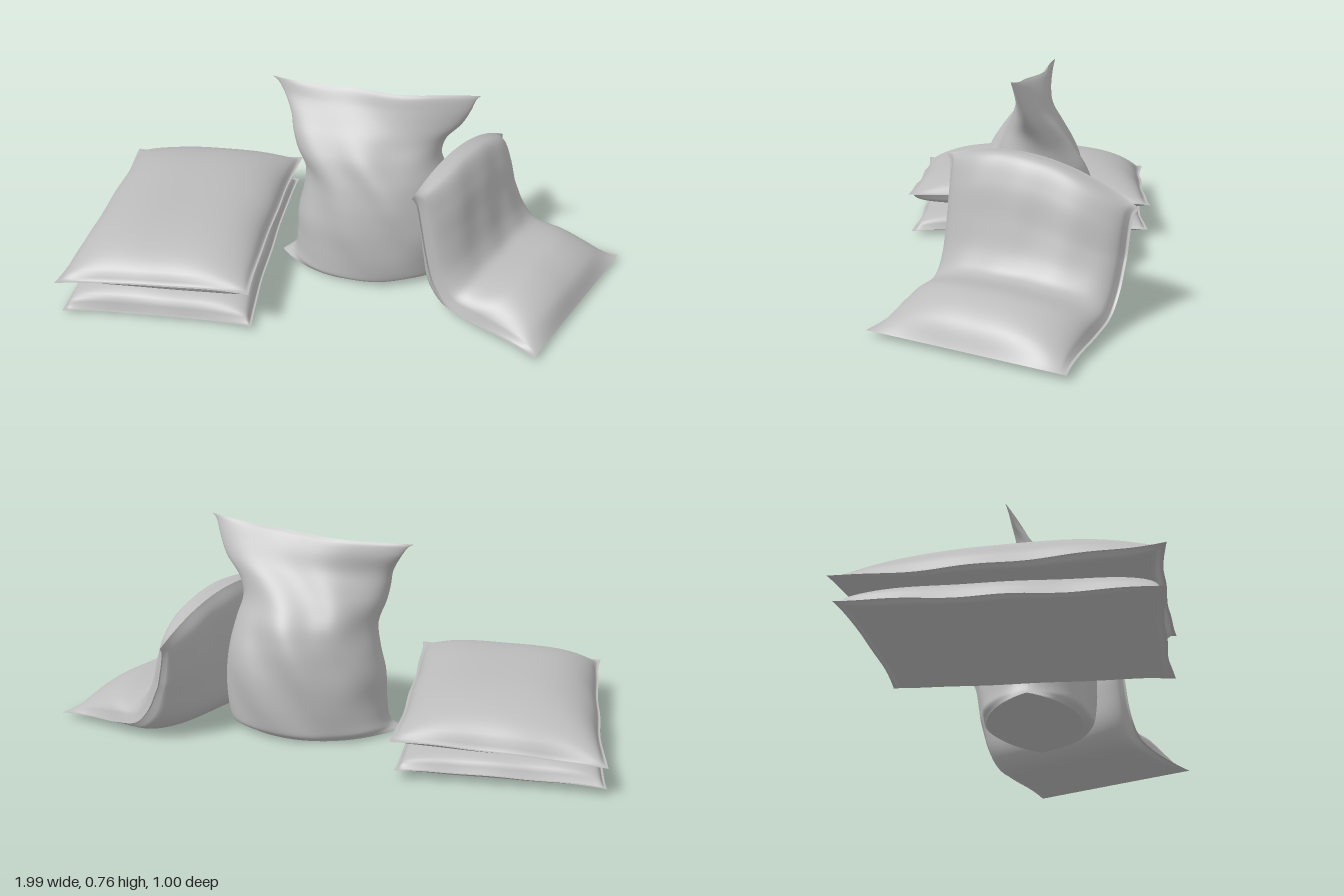
import * as THREE from 'three';

const cloth = new THREE.MeshStandardMaterial({ color: 0xbcbcbc });
cloth.name = 'grey cloth';

// Smooth sheet over u, v in -1..1, sampled densely near its edges
function sheet(name, f, flip = false, nu = 56, nv = 56) {
  const pos = [], idx = [];
  const ease = (k, n) => Math.sin((k / n - 0.5) * Math.PI);
  for (let j = 0; j <= nv; j++)
    for (let i = 0; i <= nu; i++) pos.push(...f(ease(i, nu), ease(j, nv)));
  for (let j = 0; j < nv; j++)
    for (let i = 0; i < nu; i++) {
      const a = j * (nu + 1) + i, b = a + 1, c = a + nu + 1, d = c + 1;
      if (flip) idx.push(a, d, b, a, c, d);
      else idx.push(a, b, d, a, d, c);
    }
  const g = new THREE.BufferGeometry();
  g.setAttribute('position', new THREE.Float32BufferAttribute(pos, 3));
  g.setIndex(idx);
  g.computeVertexNormals();
  const m = new THREE.Mesh(g, cloth);
  m.name = name;
  return m;
}

// Bulge across a sack, almost zero on the flat seam flange at its rim
function bulge(t, power) {
  const e = Math.abs(t), a = Math.min(1, e / 0.965);
  return Math.max(Math.pow(1 - a * a * a, power), 0.04 * (1 - e));
}

// Flat filled sack with ears at the corners
function lyingSack(name, o) {
  const group = new THREE.Group();
  group.name = name;
  const side = (h, power) => (u, v) => {
    const ear = Math.pow(u * v, 4);
    const ripple = 0.002 * Math.sin(9 * v + o.seed) * Math.pow(u, 6)
      + 0.002 * Math.sin(8 * u + o.seed) * Math.pow(v, 6);
    const tilt = o.tiltX * u + o.tiltZ * v;
    const dent = h > 0 ? 1 + 0.03 * Math.sin(4 * u + 3 * v + o.seed) : 1;
    return [
      o.w * u * (0.955 + 0.045 * ear) + ripple * u,
      tilt + ripple + (h - tilt) * bulge(u, power) * bulge(v, power) * dent,
      o.d * v * (0.965 + 0.035 * ear) + ripple * v,
    ];
  };
  group.add(sheet('upperCloth', side(o.up, o.upPower), true), sheet('lowerCloth', side(-o.down, 0.25)));
  group.position.set(...o.at);
  group.rotation.y = o.yaw;
  return group;
}

// Upright sack: rows of y, left x, right x, half depth, centre z, twist
function standingSack() {
  const rows = [
    [0.010, -0.265, 0.35, 0.17, -0.045, -0.01],
    [0.035, -0.220, 0.37, 0.195, -0.038, 0],
    [0.12, -0.205, 0.385, 0.203, -0.037, 0],
    [0.22, -0.200, 0.385, 0.205, -0.037, 0],
    [0.32, -0.178, 0.37, 0.198, -0.037, 0],
    [0.41, -0.170, 0.345, 0.175, -0.035, 0],
    [0.49, -0.198, 0.320, 0.135, -0.03, 0],
    [0.55, -0.212, 0.335, 0.097, -0.03, 0.005],
    [0.61, -0.222, 0.385, 0.060, -0.03, 0.025],
    [0.67, -0.250, 0.415, 0.032, -0.035, 0.055],
    [0.71, -0.275, 0.430, 0.013, -0.035, 0.07],
    [0.725, -0.295, 0.445, 0.001, -0.035, 0.076],
  ];
  const pick = (k) => new THREE.CatmullRomCurve3(rows.map((r) => new THREE.Vector3(r[k], r[k + 1], r[k + 2])));
  const shape = pick(0), depth = pick(3);
  const wall = (s) => (u, v) => {
    const t = (v + 1) / 2;
    const a = shape.getPoint(t), b = depth.getPoint(t);
    const top = Math.pow(Math.max(0, a.x / 0.725), 5);
    // Folds fan out from the closed top, and shrink with the sack's depth
    const folds = 0.06 * Math.sin(Math.PI * t)
      * (Math.sin(8 * u + s * 16 * a.x) + u * u * Math.sin(22 * a.x - 5 * Math.abs(u)));
    // Round section, pinched to corners at the base seam
    const pinch = Math.max(0, 1 - t * 11);
    const round = Math.pow(Math.max(0, 1 - u * u), 0.5 + 0.35 * pinch);
    return [
      a.y + (a.z - a.y) * (u + 1) / 2,
      a.x + top * (0.026 * u + 0.022 * u * u - 0.006),
      b.y + b.z * u + 0.012 * top * Math.sin(5 * u) * (1 - u * u) + s * b.x * (1 + folds) * round,
    ];
  };
  const front = wall(1), back = wall(-1);
  const base = (u, v) => {
    const p = front(u, -1), q = back(u, -1);
    return p.map((c, i) => q[i] + (c - q[i]) * (v + 1) / 2);
  };
  const group = new THREE.Group();
  group.name = 'standingSack';
  group.add(
    sheet('frontCloth', front, false, 56, 64),
    sheet('backCloth', back, true, 56, 64),
    sheet('baseCloth', base, false, 56, 6),
  );
  return group;
}

// Sack bent in the middle, one half on the floor and one leaning up
function bentSack() {
  const curve = (pts) => new THREE.CatmullRomCurve3(pts.map(([x, y]) => new THREE.Vector3(x, y, 0)));
  const seam = curve([[0.83, 0.025], [0.70, 0.035], [0.57, 0.045], [0.47, 0.07], [0.41, 0.14],
    [0.37, 0.26], [0.345, 0.38], [0.33, 0.46], [0.32, 0.50]]);
  const inner = curve([[0.83, 0.025], [0.785, 0.105], [0.68, 0.157], [0.535, 0.155], [0.495, 0.20],
    [0.46, 0.30], [0.43, 0.42], [0.385, 0.50], [0.32, 0.50]]);
  const outer = curve([[0.83, 0.025], [0.70, 0.01], [0.55, 0.008], [0.42, 0.01], [0.345, 0.07],
    [0.315, 0.20], [0.30, 0.34], [0.30, 0.45], [0.32, 0.50]]);
  const side = (path, s) => (u, v) => {
    const t = (u + 1) / 2;
    const p = seam.getPoint(t).lerp(path.getPoint(t), bulge(v, 0.45));
    const lift = Math.min(1, p.y / 0.3);
    const drape = s * 0.004 * Math.sin(11 * v + 2 * u) * Math.sin(Math.PI * t) * bulge(v, 0.6);
    return [
      p.x + (drape + 0.012 * v) * lift,
      p.y * (1 + lift * (0.03 + 0.1 * v - 0.17 * v * v)),
      -0.225 + v * (0.328 + 0.022 * Math.pow(u, 6)),
    ];
  };
  const group = new THREE.Group();
  group.name = 'bentSack';
  group.add(sheet('innerCloth', side(inner, 1), false, 80, 48), sheet('outerCloth', side(outer, -1), true, 80, 48));
  group.rotation.y = -0.477;
  return group;
}

export function createModel() {
  const model = new THREE.Group();
  model.name = 'sacks';
  model.add(
    lyingSack('lowerSack', { w: 0.345, d: 0.465, up: 0.085, down: 0.022, upPower: 0.28, tiltX: 0.004, tiltZ: -0.008,
      at: [-0.63, 0.029, -0.02], yaw: -0.02, seed: 1 }),
    lyingSack('upperSack', { w: 0.35, d: 0.475, up: 0.122, down: 0.04, upPower: 0.52, tiltX: 0.018, tiltZ: 0.016,
      at: [-0.625, 0.143, -0.022], yaw: -0.035, seed: 3 }),
    standingSack(),
    bentSack(),
  );
  return model;
}
